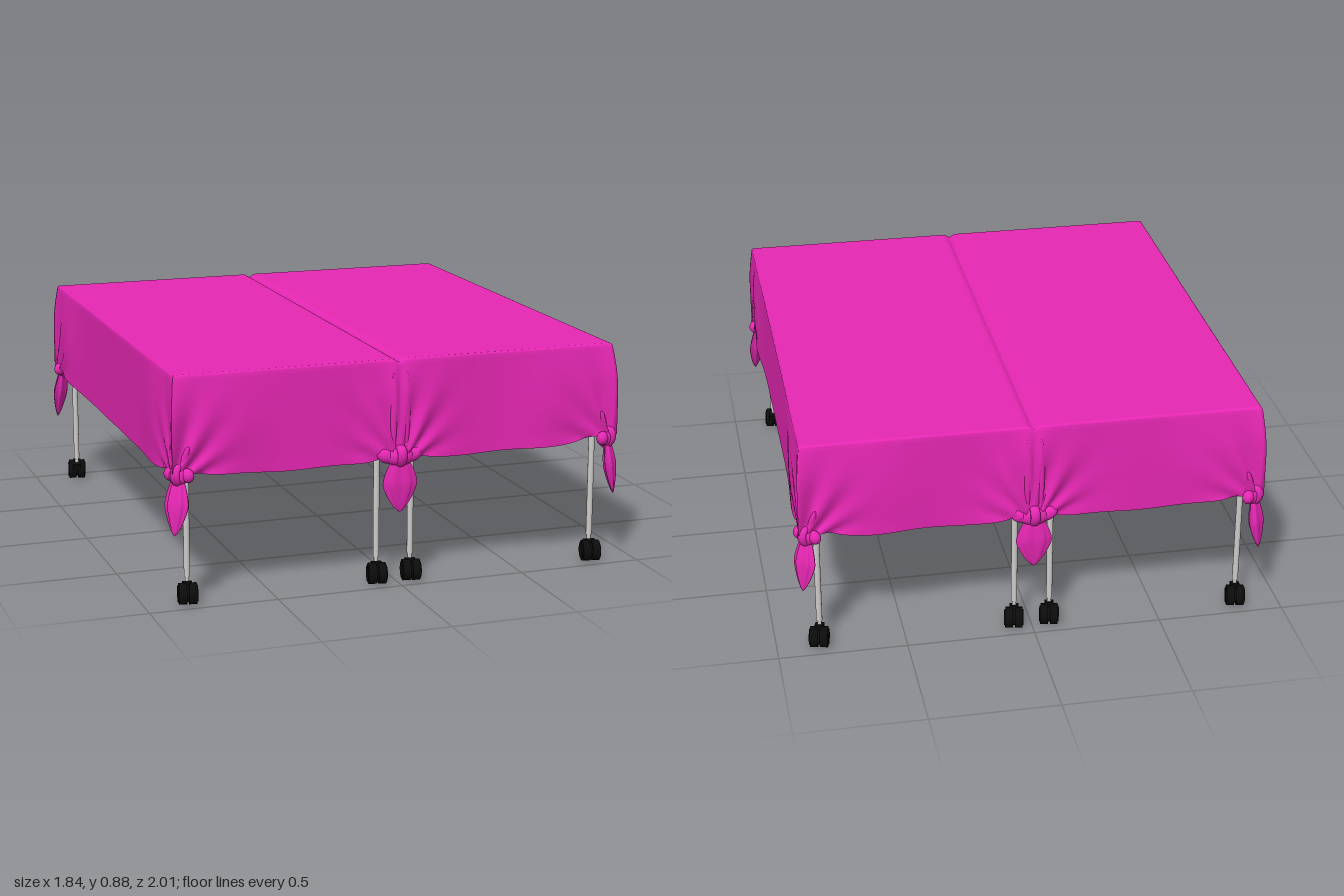
import * as THREE from 'three';

const HX = 0.885, HZ = 0.953, TOP = 0.882, HEM = 0.487;
const SEG = 160, ROWS = 26;

const cloth = new THREE.MeshStandardMaterial({ color: 0xea28b6, side: THREE.DoubleSide });
cloth.name = 'magenta cloth';
const metal = new THREE.MeshStandardMaterial({ color: 0xcfcdcb });
metal.name = 'grey metal';
const rubber = new THREE.MeshStandardMaterial({ color: 0x0c0c0c });
rubber.name = 'black rubber';

const bell = (d, w) => Math.exp(-((d / w) ** 2));
const seam = (x) => 0.015 * bell(x, 0.012);

function add(parent, name, geometry, material, pos = [0, 0, 0], scale = [1, 1, 1], rot = [0, 0, 0]) {
  const m = new THREE.Mesh(geometry, material);
  m.name = name;
  m.position.set(...pos);
  m.scale.set(...scale);
  m.rotation.set(...rot);
  parent.add(m);
  return m;
}

// Outward push of the cloth where it is gathered towards a knot
function gather(d, y, t) {
  const bulge = 0.022 * Math.sin(Math.min(1, t * 2.4) * Math.PI / 2) * bell(d, 0.12);
  const angle = Math.atan2(d, Math.max(0.03, y - 0.47));
  return bulge + 0.011 * Math.cos(angle * 13) * bell(d, 0.16) * Math.min(1, t * 2);
}

// Hanging skirt: a closed strip round the rectangle, folded near the knots
function skirtGeometry() {
  const pos = [], idx = [], ring = SEG * 4;
  for (let j = 0; j <= ROWS; j++) {
    for (let i = 0; i <= ring; i++) {
      const side = Math.floor((i % ring) / SEG), s = ((i % SEG) / SEG) * 2 - 1;
      const [x, z] = [[s * HX, HZ], [HX, -s * HZ], [-s * HX, -HZ], [-HX, s * HZ]][side];
      const isEnd = side % 2 === 0;
      const along = isEnd ? x : z;
      const dCorner = (1 - Math.abs(s)) * (isEnd ? HX : HZ);
      const c = bell(dCorner, 0.12), m = isEnd ? bell(x, 0.1) : 0;
      const hem = HEM + 0.025 * Math.max(c, m) + 0.012 * bell(dCorner, 0.3)
        + 0.003 * Math.sin(along * 17) * (isEnd ? 1 : 0.3);
      const inset = [0.008, 0.0025][j] ?? 0;
      const bodyTop = TOP - 0.009;
      let y = j === 0 ? TOP : j === 1 ? TOP - 0.0025 : bodyTop + (hem - bodyTop) * (j - 2) / (ROWS - 2);
      const t = (TOP - y) / (TOP - HEM);
      const corner = gather(dCorner, y, t);
      // slack billow beside each corner
      const billow = 0.017 * bell(dCorner - 0.22, 0.18) * Math.sin(Math.min(1, t * 1.15) * Math.PI * 0.7) * (1 - c);
      let px = corner * 0.5, pz = corner;
      if (isEnd) {
        const groove = 0.022 * bell(x, 0.012) * Math.sin(Math.PI * Math.min(1, t));
        pz += gather(x, y, t) - groove + billow + 0.006 * Math.sin(along * 14) * t * (1 - c);
        y -= seam(x) * (1 - t);
      } else {
        px += billow + 0.003 * t * (1 - c);
      }
      const grow = (v, p) => v - Math.sign(v) * (inset - p);
      // round a corner the gather pushes both ways; on a flat run only outwards
      const nearX = isEnd ? c : 1, nearZ = isEnd ? 1 : c;
      pos.push(
        isEnd ? x * (1 - inset / HX) + Math.sign(x) * px * nearX : grow(x, px),
        y,
        isEnd ? grow(z, pz) : z * (1 - inset / HZ) + Math.sign(z) * pz * nearZ,
      );
    }
  }
  const w = ring + 1;
  for (let j = 0; j < ROWS; j++) {
    for (let i = 0; i < ring; i++) {
      const a = j * w + i, b = a + w;
      idx.push(a, b, a + 1, b, b + 1, a + 1);
    }
  }
  const g = new THREE.BufferGeometry();
  g.setAttribute('position', new THREE.Float32BufferAttribute(pos, 3));
  g.setIndex(idx);
  g.computeVertexNormals();
  return g;
}

// Flat top with a shallow seam down the middle
function topGeometry() {
  const g = new THREE.PlaneGeometry((HX - 0.008) * 2, (HZ - 0.008) * 2, SEG, 8).rotateX(-Math.PI / 2);
  const p = g.attributes.position;
  for (let i = 0; i < p.count; i++) p.setY(i, TOP - seam(p.getX(i)));
  g.computeVertexNormals();
  return g;
}

// Inner curtain between the two tables
function curtainGeometry() {
  const g = new THREE.PlaneGeometry(HZ * 2 - 0.02, 1, 60, 8);
  const p = g.attributes.position;
  for (let i = 0; i < p.count; i++) {
    const u = p.getX(i), t = 0.5 - p.getY(i);
    const hem = HEM + 0.01 + 0.035 * bell(HZ - Math.abs(u), 0.15);
    p.setY(i, 0.868 + (hem - 0.868) * t);
    p.setZ(i, 0.012 * t * (1 + 0.7 * Math.sin(u * 6)));
  }
  g.computeVertexNormals();
  return g;
}

// Table slab under the cloth, with clipped corners
function slabGeometry() {
  const w = 0.425, h = 0.937, k = 0.035;
  const shape = new THREE.Shape([
    [-w + k, -h], [w - k, -h], [w, -h + k], [w, h - k], [w - k, h], [-w + k, h], [-w, h - k], [-w, -h + k],
  ].map(([x, y]) => new THREE.Vector2(x, y)));
  return new THREE.ExtrudeGeometry(shape, { depth: 0.09, bevelEnabled: false }).rotateX(-Math.PI / 2);
}

// Leaf-shaped loose end of a knot, creased lengthwise
function tailGeometry() {
  const profile = [[0.001, -0.22], [0.012, -0.205], [0.028, -0.17], [0.043, -0.12], [0.044, -0.09],
    [0.036, -0.05], [0.027, -0.02], [0.02, 0.01]].map(([r, y]) => new THREE.Vector2(r, y));
  const g = new THREE.LatheGeometry(new THREE.SplineCurve(profile).getPoints(20), 30);
  const p = g.attributes.position;
  for (let i = 0; i < p.count; i++) {
    const x = p.getX(i), z = p.getZ(i), k = 1 + 0.14 * Math.cos(Math.atan2(z, x) * 6);
    p.setXYZ(i, x * k, p.getY(i), z * k * 0.42);
  }
  g.computeVertexNormals();
  return g;
}

export function createModel() {
  const model = new THREE.Group();
  model.name = 'covered tables';

  add(model, 'clothTop', topGeometry(), cloth);
  add(model, 'clothSkirt', skirtGeometry(), cloth);
  const curtain = curtainGeometry(), slab = slabGeometry();
  for (const s of [-1, 1]) {
    add(model, 'innerCurtain', curtain, cloth, [s * 0.008, 0, 0], [1, 1, 1], [0, s * Math.PI / 2, 0]);
    add(model, 'tableSlab', slab, cloth, [s * 0.445, 0.77, 0]);
  }

  // Knots with their tails
  const ball = new THREE.SphereGeometry(1, 20, 14);
  const band = new THREE.TorusGeometry(0.027, 0.012, 10, 24);
  const tail = tailGeometry();
  function knot(x, z, wide) {
    const g = new THREE.Group();
    g.name = x ? 'cornerKnot' : 'middleKnot';
    g.position.set(x, 0.505, z);
    g.rotation.y = Math.atan2(Math.sign(x), Math.sign(z));
    add(g, 'knotCore', ball, cloth, [0, 0, 0], [0.04 * wide, 0.036, 0.027]);
    add(g, 'knotBand', band, cloth, [0, 0.003, 0.003], [0.9, 1.2, 1.6], [0, Math.PI / 2, 0.3]);
    for (const s of [-1, 1]) {
      add(g, 'knotFold', ball, cloth, [s * 0.036 * wide, 0.004, -0.004], [0.026 * wide, 0.027, 0.022], [0, 0, s * 0.4]);
      add(g, 'knotPleat', ball, cloth, [s * 0.02 * wide, 0.055, -0.01], [0.014, 0.06, 0.016], [0, 0, -s * 0.3]);
      if (!x) add(g, 'longPleat', ball, cloth, [s * 0.026, 0.18, -0.002], [0.014, 0.15, 0.014]);
    }
    add(g, 'knotTail', tail, cloth, [0, -0.005, 0.002], x ? [1, 1, 1] : [1.4, 0.97, 0.8], [x ? -0.15 : 0, 0, 0]);
    model.add(g);
  }
  for (const sz of [-1, 1]) {
    for (const sx of [-1, 1]) knot(sx * 0.87, sz * 0.957, 1);
    knot(0, sz * 0.964, 1.5);
  }

  // Legs on castors
  const tube = new THREE.CylinderGeometry(0.012, 0.012, 0.77, 12);
  const stem = new THREE.CylinderGeometry(0.008, 0.008, 0.05, 10);
  const wheel = new THREE.CylinderGeometry(0.041, 0.041, 0.03, 14).rotateZ(Math.PI / 2);
  const hub = new THREE.CylinderGeometry(0.032, 0.032, 0.076, 10).rotateZ(Math.PI / 2);
  const hood = new THREE.BoxGeometry(0.035, 0.034, 0.05);
  for (const sz of [-1, 1]) {
    for (const x of [-0.83, -0.075, 0.065, 0.83]) {
      const leg = new THREE.Group();
      leg.name = 'leg';
      leg.position.set(x, 0, sz * 0.91);
      leg.rotation.y = sz > 0 ? 0 : Math.PI;
      add(leg, 'legTube', tube, metal, [0, 0.485, 0]);
      add(leg, 'castorStem', stem, metal, [0, 0.085, 0]);
      const castor = new THREE.Group();
      castor.name = 'castor';
      castor.rotation.y = -0.2;
      for (const s of [-1, 1]) add(castor, 'castorWheel', wheel, rubber, [s * 0.019, 0.041, 0.027]);
      add(castor, 'castorHub', hub, rubber, [0, 0.041, 0.027]);
      add(castor, 'castorHood', hood, rubber, [0, 0.065, 0.005], [1, 1, 1], [-0.3, 0, 0]);
      leg.add(castor);
      model.add(leg);
    }
  }
  return model;
}
